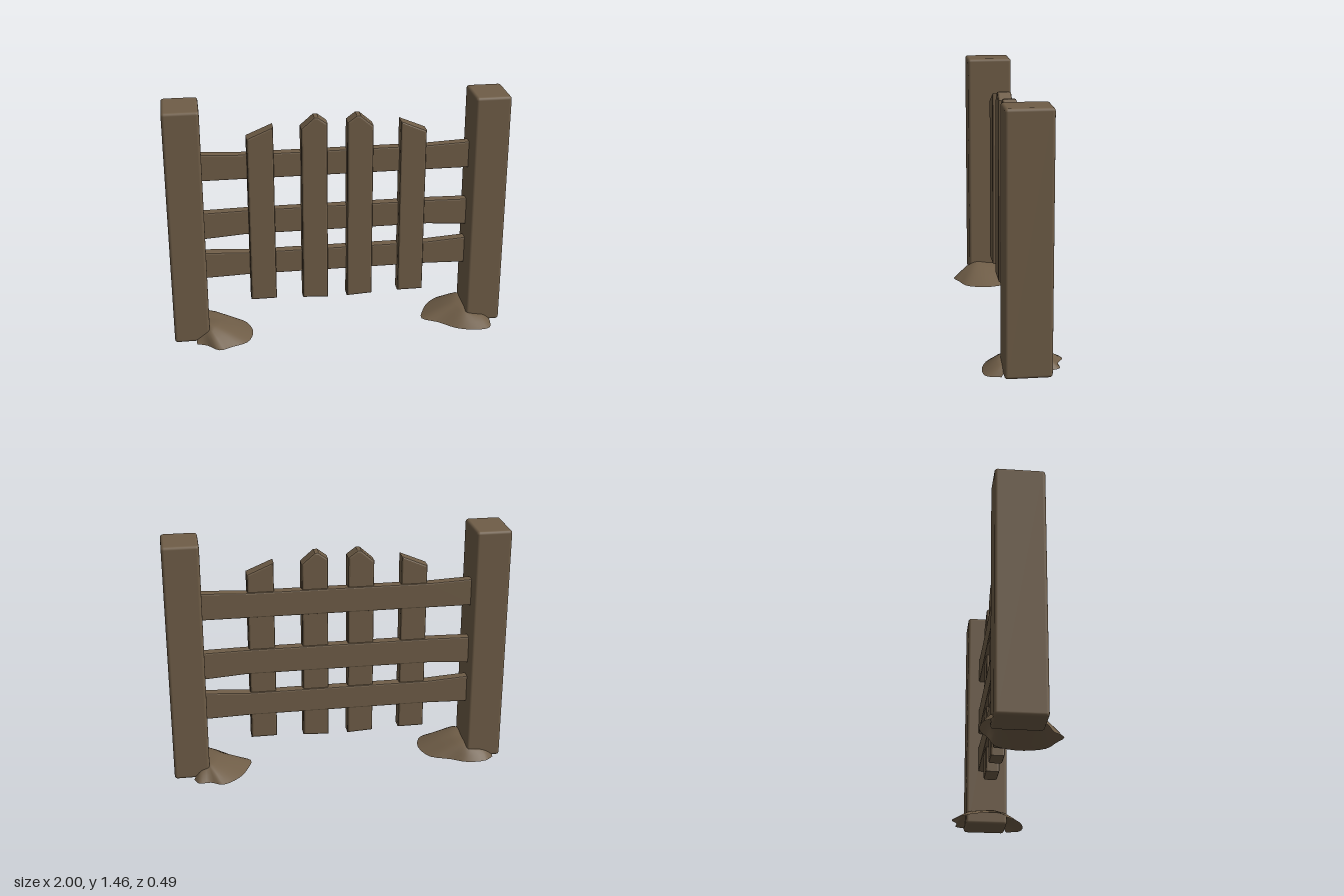
import * as THREE from 'three';
import { RoundedBoxGeometry } from 'three/addons/geometries/RoundedBoxGeometry.js';

const wood = new THREE.MeshStandardMaterial({ color: 0x6f5d47 });
wood.name = 'brown wood';
const earth = wood.clone(); // same brown, open shell
earth.name = 'brown earth';
earth.side = THREE.DoubleSide;

function add(group, name, geometry, material = wood) {
  const mesh = new THREE.Mesh(geometry, material);
  mesh.name = name;
  group.add(mesh);
  return mesh;
}

// Board cut from an outline, with small bevels, between z0 and z1
function board(points, z0, z1, bevel) {
  const shape = new THREE.Shape(points.map(([x, y]) => new THREE.Vector2(x, y)));
  const geometry = new THREE.ExtrudeGeometry(shape, {
    depth: z1 - z0 - 2 * bevel, bevelEnabled: true, bevelThickness: bevel,
    bevelSize: bevel, bevelOffset: -bevel, bevelSegments: 2,
  });
  return geometry.translate(0, 0, z0 + bevel);
}

// Heap of earth: each station is [outer x, outer z, inner x, inner z, height]
function mound(stations) {
  const outer = new THREE.CatmullRomCurve3(stations.map(s => new THREE.Vector3(s[0], 0, s[1])));
  const inner = new THREE.CatmullRomCurve3(stations.map(s => new THREE.Vector3(s[2], s[4], s[3])));
  const profile = [[0, 0], [0.15, 0.2], [0.4, 0.55], [0.7, 0.92], [0.88, 1.02], [1, 1]];
  const n = (stations.length - 1) * 3, rows = profile.length;
  const positions = [], index = [];
  for (let j = 0; j <= n; j++) {
    const a = outer.getPoint(j / n), b = inner.getPoint(j / n);
    for (const [t, h] of profile) {
      positions.push(a.x + (b.x - a.x) * t, b.y * h, a.z + (b.z - a.z) * t);
    }
  }
  for (let j = 0; j < n; j++) {
    for (let i = 0; i < rows - 1; i++) {
      const p = j * rows + i, q = p + rows;
      index.push(p, q, p + 1, q, q + 1, p + 1);
    }
  }
  const geometry = new THREE.BufferGeometry();
  geometry.setAttribute('position', new THREE.Float32BufferAttribute(positions, 3));
  geometry.setIndex(index);
  geometry.computeVertexNormals();
  return geometry;
}

export function createModel() {
  const model = new THREE.Group();
  model.name = 'fence';

  // Posts
  const posts = [['rightPost', -0.895, -0.15, 0.13], ['leftPost', 0.895, -0.15, 0.11]];
  for (const [name, x, z0, z1] of posts) {
    add(model, name, new RoundedBoxGeometry(0.21, 1.455, z1 - z0, 2, 0.018))
      .position.set(x, 0.7325, (z0 + z1) / 2);
  }

  // Rails, slightly wider at the ends: [name, bottom, top, end bottom, end top]
  const rails = [
    ['topRail', 0.985, 1.138, 0.985, 1.15],
    ['middleRail', 0.63, 0.785, 0.612, 0.78],
    ['bottomRail', 0.362, 0.508, 0.354, 0.525],
  ];
  for (const [name, low, high, endLow, endHigh] of rails) {
    const outline = [
      [-0.81, endLow], [-0.55, low], [0.55, low], [0.81, endLow],
      [0.81, endHigh], [0.55, high], [-0.55, high], [-0.81, endHigh],
    ];
    add(model, name, board(outline, -0.075, -0.015, 0.008));
  }

  // Pickets: slanted outer pair and pointed inner pair
  const slanted = [[0.372, 0.205], [0.527, 0.205], [0.527, 1.245], [0.372, 1.31]];
  const pointed = [[0.058, 0.19], [0.212, 0.198], [0.212, 1.29], [0.135, 1.357], [0.112, 1.357], [0.058, 1.317]];
  const mirror = points => points.map(([x, y]) => [-x, y]).reverse();
  const pickets = [
    ['rightOuterPicket', mirror(slanted)], ['rightInnerPicket', mirror(pointed)],
    ['leftInnerPicket', pointed], ['leftOuterPicket', slanted],
  ];
  for (const [name, outline] of pickets) add(model, name, board(outline, -0.045, 0.02 + 0.02, 0.012).translate(0, 0, -0.02));

  // Earth heaped around the inner side of each post
  add(model, 'rightMound', mound([
    [-0.87, 0.15, -0.87, 0.12, 0.02], [-0.81, 0.175, -0.83, 0.12, 0.05],
    [-0.74, 0.24, -0.80, 0.11, 0.075], [-0.66, 0.21, -0.80, 0.08, 0.09],
    [-0.57, 0.17, -0.80, 0.05, 0.09], [-0.53, 0.08, -0.80, 0.02, 0.085],
    [-0.53, 0.0, -0.80, -0.02, 0.08], [-0.575, -0.10, -0.80, -0.09, 0.08],
    [-0.69, -0.15, -0.80, -0.13, 0.07], [-0.78, -0.2, -0.83, -0.14, 0.06],
    [-0.90, -0.2, -0.89, -0.14, 0.05], [-0.955, -0.155, -0.95, -0.14, 0.02],
  ]), earth);
  add(model, 'leftMound', mound([
    [0.885, -0.16, 0.87, -0.14, 0.02], [0.86, -0.21, 0.84, -0.14, 0.05],
    [0.79, -0.21, 0.80, -0.13, 0.07], [0.72, -0.245, 0.80, -0.1, 0.08],
    [0.62, -0.18, 0.80, -0.06, 0.08], [0.56, -0.08, 0.80, -0.03, 0.08],
    [0.53, 0.03, 0.80, 0.0, 0.08], [0.62, 0.09, 0.80, 0.04, 0.08],
    [0.72, 0.18, 0.80, 0.08, 0.07], [0.84, 0.215, 0.83, 0.1, 0.055],
    [0.92, 0.2, 0.89, 0.1, 0.045], [0.945, 0.12, 0.93, 0.1, 0.02],
  ]), earth);

  return model;
}
